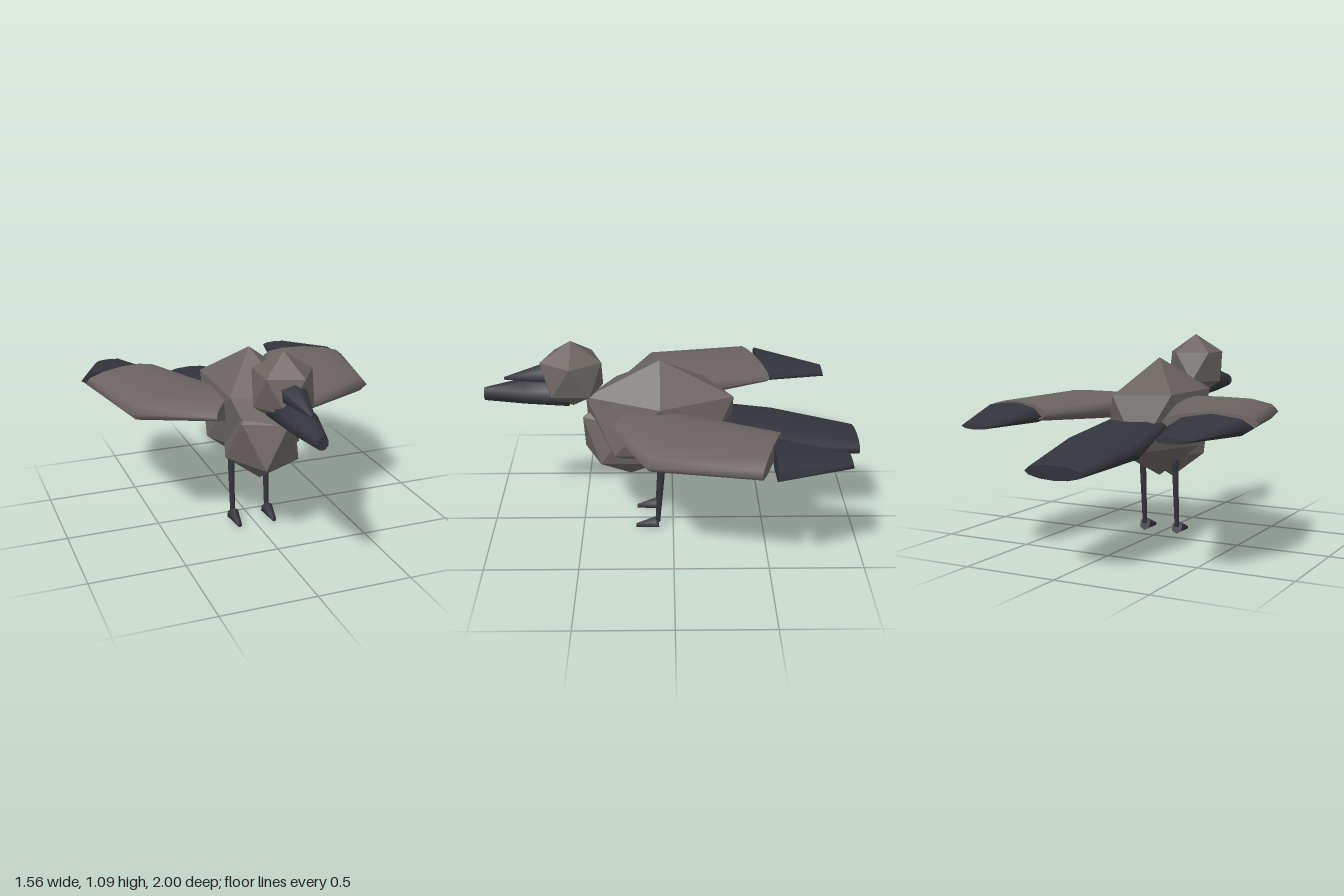
import * as THREE from 'three';
import { ConvexGeometry } from 'three/addons/geometries/ConvexGeometry.js';

const plumage = new THREE.MeshStandardMaterial({ color: 0x6a6461 });
plumage.name = 'greyPlumage';
const dark = new THREE.MeshStandardMaterial({ color: 0x34353c });
dark.name = 'darkFeather';

const V = (a) => new THREE.Vector3(...a);

// Faceted twenty-sided ball standing on a corner, stretched to size
function facetedBall(center, size) {
  const pts = [V([0, 1, 0]), V([0, -1, 0])];
  for (let k = 0; k < 5; k++) {
    for (const [y, shift] of [[0.4472, 0], [-0.4472, 0.5]]) {
      const a = ((k + shift) * Math.PI * 2) / 5;
      pts.push(V([0.8944 * Math.cos(a), y, 0.8944 * Math.sin(a)]));
    }
  }
  const geo = new ConvexGeometry(pts.map((p) => p.multiply(V(size))));
  return geo.translate(...center);
}

// Smooth skin through elliptical rings, each [center, half-width vector, half-height vector], with flat caps
function loft(rings, sides, turn = 0) {
  const pos = [];
  const idx = [];
  const R = rings.map((r) => r.map(V));
  const ringPoint = ([c, u, v], j) => {
    const a = turn + (j / sides) * Math.PI * 2;
    return c.clone().addScaledVector(u, Math.cos(a)).addScaledVector(v, Math.sin(a));
  };
  const addRing = (r) => {
    const start = pos.length / 3;
    for (let j = 0; j < sides; j++) pos.push(...ringPoint(r, j).toArray());
    return start;
  };
  const along = R[R.length - 1][0].clone().sub(R[0][0]);
  const outward = R[0][1].clone().cross(R[0][2]).dot(along) > 0;
  const tri = (a, b, c) => (outward ? idx.push(a, b, c) : idx.push(a, c, b));

  R.forEach(addRing);
  for (let i = 0; i < R.length - 1; i++) {
    for (let j = 0; j < sides; j++) {
      const k = (j + 1) % sides;
      const a = i * sides;
      const b = a + sides;
      tri(a + j, a + k, b + k);
      tri(a + j, b + k, b + j);
    }
  }
  const first = addRing(R[0]);
  const last = addRing(R[R.length - 1]);
  for (let j = 1; j < sides - 1; j++) {
    tri(first, first + j + 1, first + j);
    tri(last, last + j, last + j + 1);
  }
  const geo = new THREE.BufferGeometry();
  geo.setAttribute('position', new THREE.Float32BufferAttribute(pos, 3));
  geo.setIndex(idx);
  geo.computeVertexNormals();
  return geo;
}

// Upright ring facing along z
const ringZ = (x, y, z, rx, ry, lean = 0) => [[x, y, z], [rx, 0, 0], [0, ry, lean]];

export function createModel() {
  const bird = new THREE.Group();
  bird.name = 'bird';
  const add = (name, geo, mat, parent = bird) => {
    const mesh = new THREE.Mesh(geo, mat);
    mesh.name = name;
    parent.add(mesh);
    return mesh;
  };

  // Faceted torso and head
  add('body', facetedBall([0, 0.65, 0.07], [0.265, 0.325, 0.455]), plumage);
  add('chest', facetedBall([0, 0.555, 0.233], [0.215, 0.26, 0.29]), plumage);
  add('head', facetedBall([0, 0.9, 0.533], [0.173, 0.185, 0.188]), plumage);

  // Beak
  add('lowerBeak', loft([
    ringZ(0, 0.807, 0.55, 0.1, 0.086),
    ringZ(0, 0.802, 0.78, 0.08, 0.068),
    ringZ(0, 0.785, 1.0, 0.03, 0.035),
  ], 8, Math.PI / 8), dark);
  add('upperBeak', loft([
    ringZ(0, 0.91, 0.64, 0.078, 0.064),
    ringZ(0, 0.874, 0.89, 0.01, 0.008),
  ], 6, Math.PI / 6), dark);

  // Tail fan
  add('tail', loft([
    ringZ(0, 0.655, -0.12, 0.17, 0.03),
    ringZ(0, 0.555, -0.54, 0.225, 0.082, -0.015),
    ringZ(0, 0.502, -0.994, 0.157, 0.037, -0.006),
  ], 12), dark);

  for (const [side, s] of [['left', 1], ['right', -1]]) {
    // Swept wing with separate dark flight feathers
    const wing = new THREE.Group();
    wing.name = `${side}Wing`;
    bird.add(wing);
    add('wingPanel', loft([
      [[s * 0.14, 0.705, 0.18], [s * 0.13, 0, 0.15], [0, 0.058, 0]],
      [[s * 0.415, 0.707, 0], [s * 0.25, 0, 0.14], [0, 0.077, 0]],
      [[s * 0.553, 0.708, -0.48], [s * 0.222, 0, 0.07], [0, 0.052, 0]],
    ], 12), plumage, wing);
    add('flightFeathers', loft([
      ringZ(s * 0.568, 0.697, -0.49, 0.214, 0.056),
      ringZ(s * 0.535, 0.67, -0.872, 0.08, 0.015),
    ], 8), dark, wing);

    // Leg and pointed foot
    const limb = new THREE.Group();
    limb.name = `${side}Leg`;
    bird.add(limb);
    add('shin', loft([
      [[s * 0.1, 0.42, 0.06], [0.02, 0, 0], [0, 0, 0.023]],
      [[s * 0.1, 0.04, 0.086], [0.014, 0, 0], [0, 0, 0.015]],
    ], 6), dark, limb);
    add('foot', loft([
      ringZ(s * 0.1, 0.035, 0.088, 0.034, 0.035, 0.01),
      ringZ(s * 0.1, 0.013, 0.205, 0.012, 0.012),
    ], 6, Math.PI / 6), dark, limb);
  }
  return bird;
}
